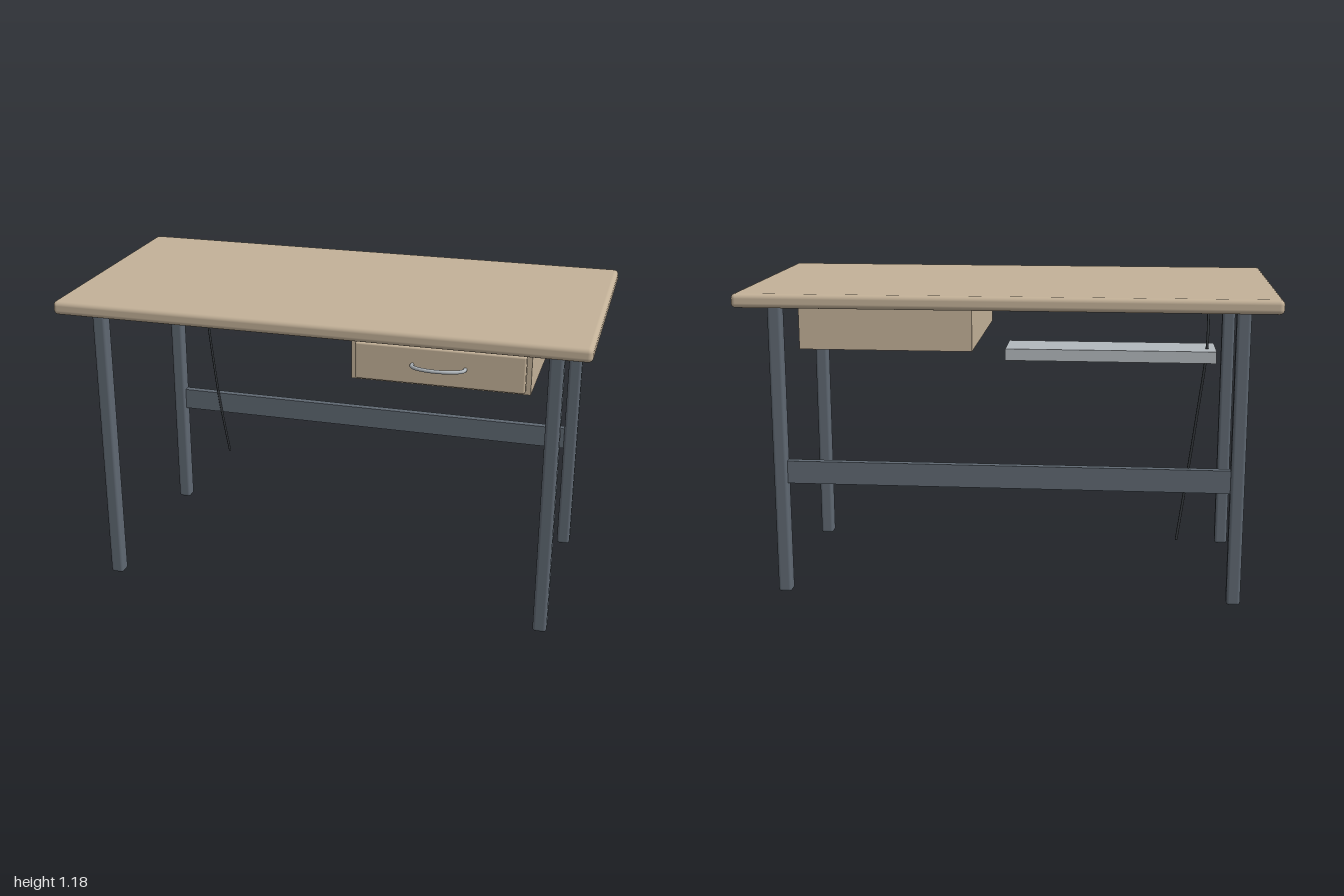
import * as THREE from 'three';
import { RoundedBoxGeometry } from 'three/addons/geometries/RoundedBoxGeometry.js';

const material = (name, color) => {
  const m = new THREE.MeshStandardMaterial({ color });
  m.name = name;
  return m;
};

export function createModel() {
  const wood = material('wood', 0xc3b198);
  const steel = material('slateSteel', 0x5f6872);
  const metal = material('lightMetal', 0xb2b8bd);
  const rubber = material('cableBlack', 0x34383c);

  const desk = new THREE.Group();
  desk.name = 'desk';

  const add = (name, geometry, mat) => {
    const mesh = new THREE.Mesh(geometry, mat);
    mesh.name = name;
    desk.add(mesh);
    return mesh;
  };

  // Block given by its extents on each axis; radius 0 leaves sharp edges
  const block = (name, mat, [x0, x1], [y0, y1], [z0, z1], radius = 0) => {
    const size = [x1 - x0, y1 - y0, z1 - z0];
    const geometry = radius
      ? new RoundedBoxGeometry(...size, 3, radius)
      : new THREE.BoxGeometry(...size);
    add(name, geometry, mat).position.set((x0 + x1) / 2, (y0 + y1) / 2, (z0 + z1) / 2);
  };

  const tube = (name, mat, points, radius) => {
    const curve = new THREE.CatmullRomCurve3(points.map((p) => new THREE.Vector3(...p)));
    add(name, new THREE.TubeGeometry(curve, 32, radius, 10), mat);
    // Round caps on both ends
    for (const p of [points[0], points[points.length - 1]]) {
      add(name + 'End', new THREE.SphereGeometry(radius, 10, 8), mat).position.set(...p);
    }
  };

  // Desktop
  block('tabletop', wood, [-1, 1], [1.132, 1.185], [-0.5, 0.5], 0.018);

  // Four legs with softened edges
  for (const x of [-0.868, 0.868]) {
    for (const z of [-0.37, 0.37]) {
      const side = x > 0 ? 'Left' : 'Right';
      block((z > 0 ? 'front' : 'back') + side + 'Leg', steel,
        [x - 0.0265, x + 0.0265], [0, 1.133], [z - 0.0265, z + 0.0265], 0.012);
    }
  }

  // Rail between the back legs
  block('backRail', steel, [-0.845, 0.845], [0.44, 0.528], [-0.385, -0.355]);

  // Drawer case, drawer front and bowed pull
  block('drawerCase', wood, [0.13, 0.785], [0.958, 1.117], [-0.352, 0.397]);
  block('drawerFront', wood, [0.15, 0.768], [0.97, 1.108], [0.396, 0.427], 0.007);
  tube('drawerPull', metal, [
    [0.362, 1.043, 0.42], [0.364, 1.043, 0.445], [0.39, 1.043, 0.465], [0.458, 1.043, 0.477],
    [0.526, 1.043, 0.465], [0.552, 1.043, 0.445], [0.554, 1.043, 0.42],
  ], 0.007);

  // Cable tray under the desktop
  block('cableTray', metal, [-0.77, -0.002], [0.942, 0.985], [-0.43, -0.245]);

  // Hanging cable
  tube('cable', rubber, [
    [-0.742, 1.14, -0.295], [-0.742, 1.1, -0.335], [-0.738, 0.98, -0.365],
    [-0.71, 0.73, -0.358], [-0.68, 0.49, -0.354], [-0.647, 0.252, -0.368],
  ], 0.005);

  return desk;
}
